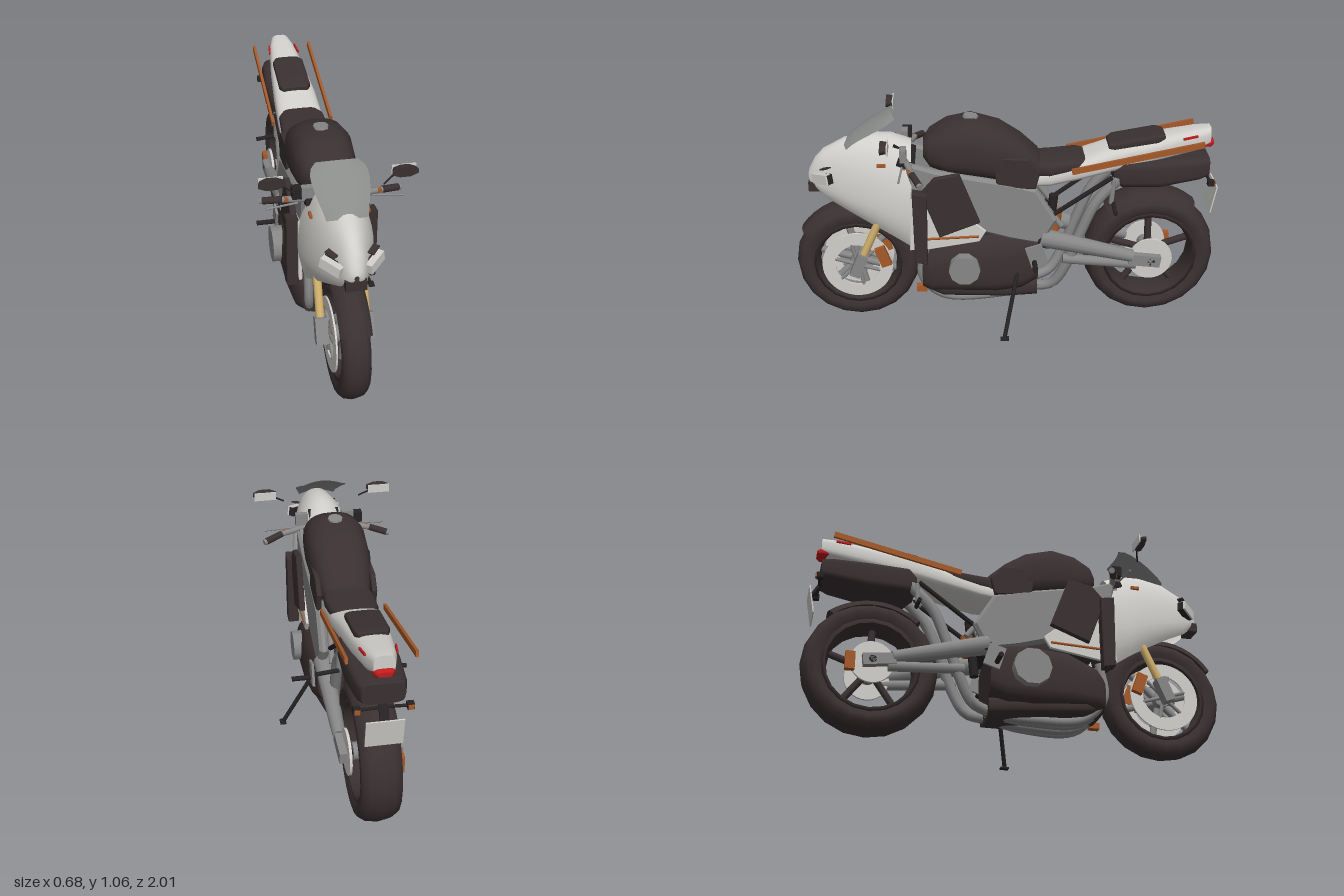
import * as THREE from 'three';

const mat = (name, color, side = THREE.FrontSide) => {
  const m = new THREE.MeshStandardMaterial({ color, side });
  m.name = name;
  return m;
};

export function createModel() {
  const root = new THREE.Group();
  const silver = mat('silver paint', 0xd0cfcb, THREE.DoubleSide);
  const dark = mat('dark rubber', 0x3a3031, THREE.DoubleSide);
  const black = mat('black metal', 0x262223);
  const grey = mat('grey metal', 0x868786, THREE.DoubleSide);
  const glass = mat('smoked screen', 0x8a8c8a, THREE.DoubleSide);
  const gold = mat('gold fork', 0xd2b26e);
  const orange = mat('orange trim', 0xa5592a);
  const red = mat('red lens', 0xc01c1c);

  // ---- helpers ----
  const add = (name, geo, m, x = 0, y = 0, z = 0) => {
    const mesh = new THREE.Mesh(geo, m);
    mesh.name = name;
    mesh.position.set(x, y, z);
    root.add(mesh);
    return mesh;
  };
  const box = (name, m, w, h, d, x, y, z, rx = 0, ry = 0, rz = 0) => {
    const b = add(name, new THREE.BoxGeometry(w, h, d), m, x, y, z);
    b.rotation.set(rx, ry, rz);
    return b;
  };
  const disc = (name, m, r, w, x, y, z, n = 20) =>
    add(name, new THREE.CylinderGeometry(r, r, w, n).rotateZ(Math.PI / 2), m, x, y, z);
  const rod = (name, m, a, b, r, r2 = r, n = 10) => {
    const p = new THREE.Vector3(...a), q = new THREE.Vector3(...b);
    const mesh = add(name, new THREE.CylinderGeometry(r2, r, p.distanceTo(q), n), m);
    mesh.position.copy(p).lerp(q, 0.5);
    mesh.quaternion.setFromUnitVectors(new THREE.Vector3(0, 1, 0), q.sub(p).normalize());
    return mesh;
  };
  const tube = (name, m, pts, r) => add(name, new THREE.TubeGeometry(
    new THREE.CatmullRomCurve3(pts.map(p => new THREE.Vector3(...p))), 24, r, 8), m);
  // side-profile plate: points are [z, y], running from x0 to x1
  const slab = (name, m, pts, x0, x1, bevel = 0.008) => {
    const shape = new THREE.Shape(pts.map(p => new THREE.Vector2(...p)));
    const geo = new THREE.ExtrudeGeometry(shape, {
      depth: x1 - x0 - 2 * bevel, bevelEnabled: true, bevelSize: bevel, bevelThickness: bevel, bevelSegments: 1 });
    return add(name, geo.rotateY(-Math.PI / 2).translate(x1 - bevel, 0, 0), m);
  };
  // body lofted front to back; section = [z, bottom, middle, top, half width]
  const loft = (name, m, sections, power = 0.8, from = -Math.PI / 2, span = Math.PI * 2, capped = true) => {
    const n = 28, pos = [], idx = [], low = Math.abs(Math.sin(from));
    const bend = v => Math.sign(v) * Math.abs(v) ** power;
    for (const [z, bot, mid, top, w] of sections)
      for (let j = 0; j <= n; j++) {
        const t = from + span * j / n, s = Math.sin(t);
        pos.push(w * bend(Math.cos(t)), mid + (s > 0 ? (top - mid) * bend(s) : (mid - bot) * bend(s / low)), z);
      }
    for (let i = 0; i < sections.length - 1; i++)
      for (let j = 0; j < n; j++) {
        const a = i * (n + 1) + j, d = a + n + 1;
        idx.push(a, d, a + 1, a + 1, d, d + 1);
      }
    if (capped) [0, sections.length - 1].forEach((i, end) => {
      const base = pos.length / 3, [z, , mid] = sections[i];
      pos.push(0, mid, z);
      for (let j = 0; j <= n; j++) pos.push(...pos.slice((i * (n + 1) + j) * 3, (i * (n + 1) + j) * 3 + 3));
      for (let j = 1; j <= n; j++) idx.push(base, base + j + (end ? 1 : 0), base + j + (end ? 0 : 1));
    });
    const geo = new THREE.BufferGeometry();
    geo.setAttribute('position', new THREE.Float32BufferAttribute(pos, 3));
    geo.setIndex(idx);
    geo.computeVertexNormals();
    return add(name, geo, m);
  };
  const lathe = (name, m, pts, y, z, from = 0, span = Math.PI * 2, n = 20) => add(name, new THREE.LatheGeometry(
    pts.map(p => new THREE.Vector2(...p)), n, from, span).rotateZ(Math.PI / 2), m, 0, y, z);
  const both = fn => [1, -1].forEach(fn);

  // ---- wheels ----
  const wheel = (label, y, z, R, w, spokes, spokeMat) => {
    lathe(label + 'Tyre', dark, [[R * .7, -w * .8], [R * .8, -w], [R * .9, -w * .95], [R * .97, -w * .6], [R, 0],
      [R * .97, w * .6], [R * .9, w * .95], [R * .8, w], [R * .7, w * .8]], y, z);
    lathe(label + 'Rim', dark, [[R * .66, w * .85], [R * .62, 0], [R * .66, -w * .85], [R * .72, -w * .85],
      [R * .72, w * .85], [R * .66, w * .85]], y, z);
    disc(label + 'Hub', grey, .04, w * 1.7, 0, y, z);
    for (let i = 0; i < spokes; i++) {
      const a = i / spokes * Math.PI * 2 + .3, c = Math.cos(a), s = Math.sin(a);
      rod(label + 'Spoke', spokeMat, [0, y + .03 * s, z + .03 * c], [0, y + R * .66 * s, z + R * .66 * c], .017);
    }
  };
  wheel('front', .3, .708, .295, .063, 6, grey);
  wheel('rear', .32, -.69, .315, .09, 5, dark);
  const ring = new THREE.Shape().absarc(0, 0, .168, 0, Math.PI * 2);
  ring.holes.push(new THREE.Path().absarc(0, 0, .105, 0, Math.PI * 2, true));
  const ringGeo = new THREE.ExtrudeGeometry(ring, { depth: .008, bevelEnabled: false, curveSegments: 24 }).rotateY(-Math.PI / 2);
  both(s => {
    add('frontBrakeDisc', ringGeo, silver, s * .068 + .004, .3, .71);
    for (let i = 0; i < 6; i++) {
      const a = i * Math.PI / 3 + .3;
      rod('discCarrier', grey, [s * .066, .3, .71], [s * .066, .3 + .11 * Math.sin(a), .71 + .11 * Math.cos(a)], .009);
    }
    box('frontCaliper', orange, .035, .1, .05, s * .08, .35, .585, .35);
  });
  disc('sprocket', silver, .105, .012, .1, .32, -.69, 28);
  disc('rearBrakeDisc', silver, .1, .012, -.1, .32, -.69, 28);
  box('rearCaliper', orange, .03, .085, .045, -.115, .31, -.79);
  rod('rearAxle', black, [-.14, .32, -.69], [.14, .32, -.69], .018);
  const arch = (r, w) => [[r - .04, -w], [r - .01, -w * .75], [r, -w * .3], [r, w * .3], [r - .01, w * .75], [r - .04, w]];
  lathe('frontFender', dark, arch(.312, .07), .3, .71, .6, 1.95, 14);
  lathe('rearFender', dark, arch(.335, .085), .32, -.69, .85, 1.4, 12);

  // ---- front fork ----
  both(s => {
    rod('forkTube', gold, [s * .102, .36, .68], [s * .102, .55, .595], .019);
    rod('upperFork', grey, [s * .102, .55, .595], [s * .102, .84, .46], .022);
    box('forkFoot', grey, .055, .12, .05, s * .102, .32, .7, -.4);
  });
  rod('frontAxle', black, [-.12, .3, .71], [.12, .3, .71], .015);
  box('forkYoke', black, .26, .03, .08, 0, .84, .46, -.4);

  // ---- nose fairing, screen and lights ----
  loft('noseFairing', silver, [
    [.918, .735, .745, .755, .01], [.91, .715, .735, .785, .032], [.88, .69, .73, .84, .052], [.84, .655, .72, .88, .07],
    [.74, .6, .69, .932, .112], [.62, .53, .66, .953, .142], [.53, .475, .63, .95, .154], [.435, .41, .61, .915, .157]],
    .95, -.75, Math.PI + 1.5, false);
  const screen = new THREE.PlaneGeometry(2, 1, 12, 8), sp = screen.attributes.position;
  for (let i = 0; i < sp.count; i++) {
    const u = sp.getX(i), v = sp.getY(i) + .5, w = .088 + .037 * Math.sin(v * 2) - .03 * v ** 10;
    sp.setXYZ(i, u * w, .918 + .147 * v ** .8 - .012 * u * u, .745 - .225 * v - .018 * u * u);
  }
  screen.computeVertexNormals();
  add('windscreen', screen, glass);
  box('airIntake', dark, .09, .045, .05, 0, .703, .892);
  box('instruments', black, .15, .06, .06, 0, .88, .5, -.5);
  box('radiator', dark, .2, .26, .04, 0, .55, .42, -.2);
  both(s => {
    box('headlightFrame', black, .1, .045, .03, s * .085, .764, .84, 0, s * .8, s * .2);
    box('headlight', silver, .1, .047, .03, s * .091, .766, .847, 0, s * .8, s * .2);
    box('headlightFin', dark, .05, .006, .03, s * .088, .815, .828, 0, s * .8, s * .35);
    box('frontIndicator', orange, .012, .014, .04, s * .125, .84, .57);
    box('dashBracket', grey, .06, .06, .03, s * .115, .89, .47);
    // side inner panels and dark scoops
    slab('sidePanel', silver, [[.44, .72], [.3, .68], [.1, .51], [.13, .46], [.38, .42], [.45, .42]], s * .147 - .008, s * .147 + .008, .003);
    slab('scoopPost', dark, [[.43, .73], [.37, .72], [.375, .37], [.425, .38]], s * .178 - .027, s * .178 + .027, .004);
    slab('scoopPanel', dark, [[.39, .72], [.33, .79], [.22, .81], [.13, .57], [.31, .5]], s * .167 - .014, s * .167 + .014, .004);
    rod('orangePipe', orange, [s * .153, .475, .4], [s * .153, .485, .13], .007);
    // mirrors
    const shell = add('mirrorShell', new THREE.CylinderGeometry(.052, .062, .03, 8).rotateY(Math.PI / 8).rotateX(-Math.PI / 2), dark, s * .284, .998, .545);
    shell.scale.y = .42;
    box('mirrorGlass', silver, .106, .04, .006, s * .284, .998, .528);
    rod('mirrorStalk', black, [s * .24, .985, .545], [s * .19, .952, .565], .004);
    // handlebars
    rod('handlebar', grey, [s * .1, .85, .46], [s * .22, .838, .428], .014);
    rod('grip', dark, [s * .22, .838, .428], [s * .3, .82, .394], .016);
    rod('barEnd', grey, [s * .3, .82, .394], [s * .312, .817, .389], .014);
    box('barSwitch', orange, .016, .016, .02, s * .205, .845, .44);
    rod('lever', grey, [s * .16, .845, .475], [s * .3, .835, .485], .005);
  });
  box('brakeReservoir', black, .04, .05, .045, -.165, .89, .46);

  // ---- tank and seats ----
  loft('tank', dark, [[.38, .84, .88, .92, .07], [.35, .8, .88, .96, .115], [.27, .77, .87, 1.01, .138],
    [.16, .75, .87, 1.032, .147], [.03, .73, .84, .995, .143], [-.07, .72, .81, .93, .125],
    [-.15, .72, .78, .855, .105], [-.17, .75, .78, .81, .08]], .75);
  both(s => slab('kneePanel', dark, [[.06, .87], [-.1, .86], [-.15, .8], [-.13, .72], [.04, .73]], s * .128 - .012, s * .128 + .012, .005));
  add('fuelCap', new THREE.CylinderGeometry(.034, .038, .012, 8), grey, 0, 1.028, .16).rotation.x = -.1;
  loft('riderSeat', dark, [[-.12, .74, .79, .835, .1], [-.2, .75, .79, .83, .115], [-.33, .77, .81, .842, .108],
    [-.37, .79, .82, .84, .08]], .6);
  loft('tail', silver, [[-.08, .7, .73, .77, .1], [-.2, .7, .745, .795, .112], [-.35, .73, .78, .835, .112],
    [-.5, .765, .82, .89, .105], [-.7, .81, .86, .925, .088], [-.88, .85, .9, .958, .065], [-.95, .875, .92, .965, .045]], .65);
  loft('passengerSeat', dark, [[-.475, .87, .885, .897, .06], [-.5, .87, .89, .91, .078], [-.7, .9, .925, .945, .076],
    [-.735, .91, .925, .94, .06]], .45);
  both(s => {
    box('grabRail', orange, .013, .027, .615, s * .143, .864, -.6, .203);
    box('tailStripe', red, .008, .01, .07, s * .07, .93, -.85, .15, s * .13);
  });
  loft('tailLight', red, [[-.91, .866, .887, .908, .05], [-.955, .868, .887, .906, .043], [-.968, .876, .887, .898, .03]], .6);

  // ---- under-tail silencer, plate and indicators ----
  loft('silencer', dark, [[-.5, .72, .75, .8, .09], [-.54, .69, .76, .825, .115], [-.72, .69, .76, .83, .12],
    [-.9, .72, .78, .835, .105], [-.945, .735, .785, .83, .09]], .45);
  both(s => {
    rod('indicatorStalk', black, [0, .72, -.945], [s * .1, .72, -.95], .007);
    box('rearIndicator', black, .03, .025, .03, s * .11, .72, -.95);
    box('rearIndicatorLens', orange, .024, .02, .008, s * .11, .72, -.967);
  });
  box('plateHolder', black, .04, .09, .012, 0, .705, -.955, .5);
  box('plate', silver, .16, .135, .006, 0, .615, -.978, -.18);

  // ---- frame, engine and exhaust ----
  both(s => {
    slab('frameSpar', grey, [[.45, .84], [.33, .8], [-.02, .73], [-.13, .7], [-.22, .55], [-.16, .44], [-.02, .47],
      [.18, .53], [.42, .64]], s * .12 - .022, s * .12 + .022, .014);
    rod('swingArm', grey, [s * .115, .455, -.16], [s * .118, .345, -.6], .046, .03, 12);
    box('axleBlock', grey, .04, .055, .15, s * .12, .325, -.66, -.12);
    rod('swingArmBrace', grey, [s * .1, .33, -.27], [s * .115, .3, -.62], .024);
    rod('subframe', black, [s * .09, .545, -.2], [s * .1, .75, -.49], .011);
    rod('subframeStay', grey, [s * .08, .69, -.12], [s * .09, .5, -.26], .014);
    rod('footPeg', black, [s * .14, .35, -.13], [s * .26, .35, -.13], .012);
    box('heelPlate', grey, .012, .11, .08, s * .165, .38, -.14, .3);
    rod('passengerPeg', black, [s * .1, .62, -.5], [s * .2, .61, -.5], .01);
    rod('passengerPegStay', grey, [s * .1, .62, -.49], [s * .1, .74, -.5], .012);
    for (let i = 0; i < 2; i++)
      tube('headerPipe', grey, [[s * (.04 + i * .06), .42, .38], [s * (.04 + i * .06), .25, .4], [s * (.035 + i * .05), .14, .3],
        [s * (.03 + i * .035), .125, .05], [s * .03, .15, -.15]], .022);
  });
  disc('leftEngineCover', grey, .074, .05, .186, .33, .2, 10);
  disc('rightEngineCover', grey, .09, .06, -.185, .33, .03, 10);
  loft('engine', dark, [[.4, .18, .26, .36, .13], [.36, .17, .27, .4, .165], [.22, .17, .28, .47, .178],
    [.05, .16, .29, .485, .178], [-.07, .17, .3, .49, .165], [-.15, .21, .33, .44, .14]], .62);
  slab('cylinderBlock', dark, [[.34, .45], [.3, .68], [.08, .7], [-.08, .48]], -.11, .11);
  loft('bellyPan', dark, [[.39, .17, .21, .26, .11], [.3, .14, .19, .26, .145], [0, .12, .17, .24, .13], [-.15, .11, .17, .22, .1]], .7);
  box('oilFilter', orange, .035, .03, .05, .09, .18, .405);
  both(s => tube('exhaust', grey, [[s * .04, .15, -.12], [s * .07, .18, -.22], [s * .09, .3, -.29], [s * .09, .46, -.35],
    [s * .09, .62, -.42], [s * .08, .74, -.53]], .026));
  rod('rearShock', black, [0, .34, -.2], [0, .62, -.23], .022);
  rod('shockSpring', orange, [0, .44, -.23], [0, .54, -.24], .032);
  rod('pivot', black, [-.15, .44, -.17], [.15, .44, -.17], .025);

  // ---- side stand ----
  rod('sideStand', black, [.16, .29, -.05], [.288, .012, .015], .01);
  box('standFoot', black, .03, .008, .04, .292, .005, .015);
  return root;
}
